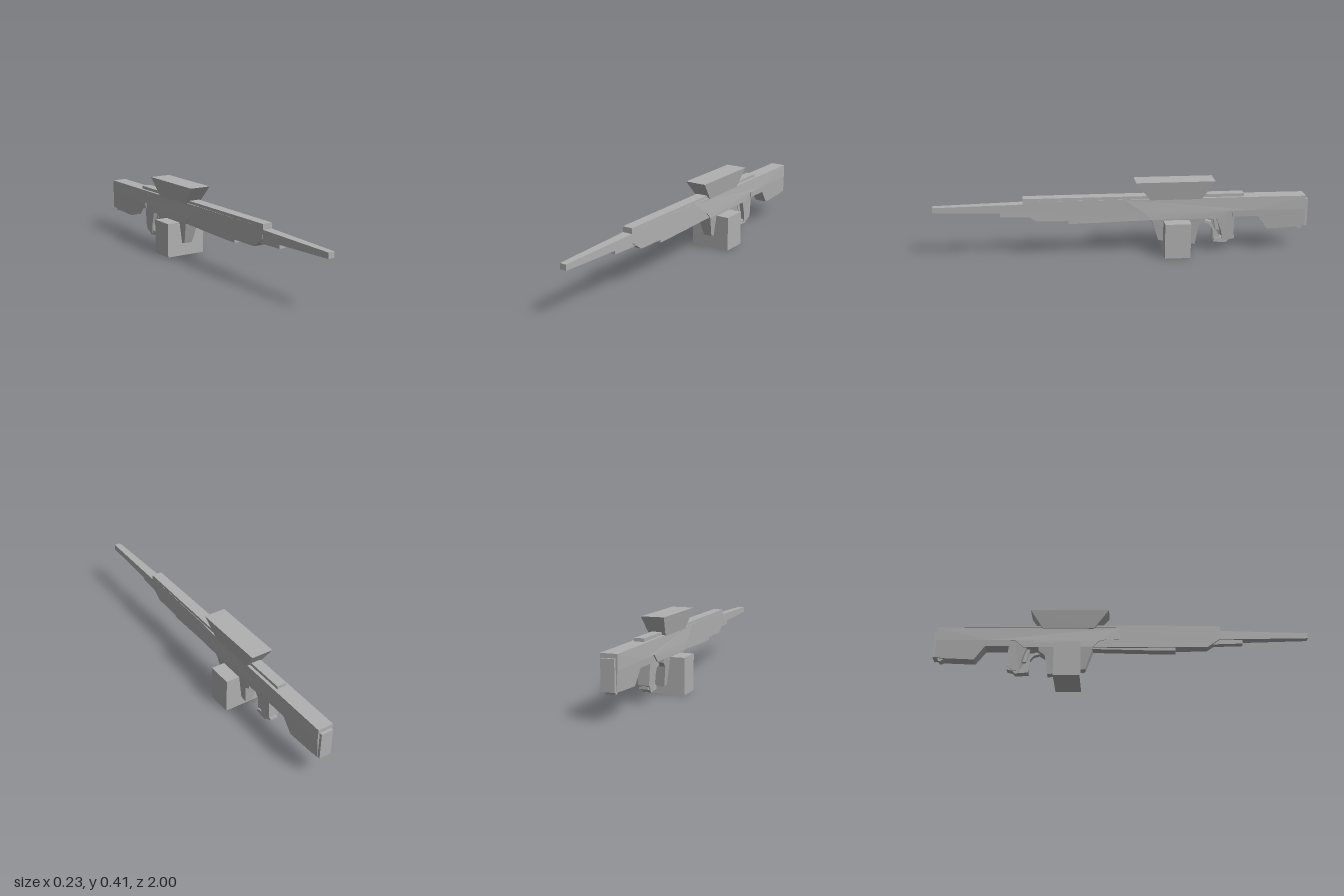
import * as THREE from 'three';

const grey = new THREE.MeshStandardMaterial({ color: 0xb0b0b0 });
grey.name = 'plain grey';

// Linear blend of a width between two stations, held constant outside them
const ramp = (v, v0, w0, v1, w1) =>
  THREE.MathUtils.lerp(w0, w1, THREE.MathUtils.clamp((v - v0) / (v1 - v0), 0, 1));

// Side outline of [z, y] points, spread to a half width given as a number or a rule
function slab(name, points, halfWidth) {
  const shape = new THREE.Shape(points.map(([z, y]) => new THREE.Vector2(z, y)));
  const geometry = new THREE.ExtrudeGeometry(shape, { depth: 1, bevelEnabled: false });
  const p = geometry.attributes.position;
  for (let i = 0; i < p.count; i++) {
    const z = p.getX(i), y = p.getY(i), side = p.getZ(i) < 0.5 ? 1 : -1;
    const w = typeof halfWidth === 'number' ? halfWidth : halfWidth(z, y);
    p.setXYZ(i, side * w, y, z);
  }
  geometry.computeVertexNormals();
  const mesh = new THREE.Mesh(geometry, grey);
  mesh.name = name;
  return mesh;
}

export function createModel() {
  const model = new THREE.Group();
  model.name = 'longPropModel';
  const foreWidth = (z) => ramp(z, 0.53, 0.028, -0.1, 0.036);

  model.add(
    // Tapered barrel and the short tube below it
    slab('barrel', [[1, 0.257], [1, 0.287], [0.5, 0.297], [0.5, 0.245]],
      (z) => ramp(z, 1, 0.018, 0.5, 0.027)),
    slab('underBarrel', [[0.65, 0.226], [0.65, 0.246], [0.46, 0.25], [0.46, 0.22]], 0.017),

    // Fore end with its top rib and lower rail
    slab('foreEnd', [[0.53, 0.25], [0.53, 0.31], [-0.15, 0.31], [-0.15, 0.195], [0.46, 0.2]], foreWidth),
    slab('frontRib', [[0.53, 0.3], [0.53, 0.326], [-0.15, 0.326], [-0.15, 0.3]],
      (z) => ramp(z, 0.53, 0.028, -0.1, 0.032)),
    slab('lowerRail', [[0.29, 0.18], [0.29, 0.21], [-0.16, 0.21], [-0.16, 0.19], [0.1, 0.183]], 0.025),

    // Wide central body, emerging gradually from the fore end
    slab('body', [
      [0, 0.24], [0, 0.311], [-0.15, 0.311], [-0.985, 0.308], [-0.985, 0.235], [-0.7, 0.235],
      [-0.565, 0.235], [-0.52, 0.195], [-0.15, 0.195], [-0.12, 0.23], [-0.08, 0.24],
    ], (z) => ramp(z, 0, 0.034, -0.15, 0.042)),
    slab('rearRib', [[-0.42, 0.3], [-0.42, 0.326], [-0.65, 0.326], [-0.65, 0.3]], 0.026),

    // Flared top housing
    slab('topHousing', [[-0.145, 0.305], [-0.065, 0.406], [-0.487, 0.406], [-0.42, 0.305]],
      (z, y) => ramp(y, 0.305, 0.042, 0.406, 0.06)),

    // Tapered well with the wide box through it
    slab('well', [
      [-0.15, 0.197], [-0.44, 0.197], [-0.44, 0.175], [-0.405, 0.15], [-0.39, 0.045],
      [-0.355, 0.05], [-0.22, 0.07], [-0.19, 0.075],
    ], (z, y) => ramp(y, 0.197, 0.041, 0.06, 0.022)),
    slab('wideBox', [[-0.215, 0], [-0.215, 0.19], [-0.353, 0.19], [-0.353, 0]], 0.115),

    // Grip and the slim guard ahead of it
    slab('grip', [
      [-0.5, 0.2], [-0.565, 0.24], [-0.6, 0.24], [-0.6, 0.09], [-0.575, 0.065], [-0.54, 0.062], [-0.53, 0.12],
    ], (z, y) => ramp(y, 0.2, 0.036, 0.06, 0.026)),
    slab('gripFoot', [[-0.49, 0.055], [-0.495, 0.075], [-0.605, 0.085], [-0.605, 0.073], [-0.575, 0.065], [-0.56, 0.05]], 0.022),
    slab('guard', [
      [-0.43, 0.165], [-0.45, 0.175], [-0.48, 0.165], [-0.495, 0.13], [-0.535, 0.07],
      [-0.5, 0.062], [-0.49, 0.07], [-0.485, 0.13], [-0.465, 0.155],
    ], 0.014),
    slab('trigger', [[-0.485, 0.2], [-0.505, 0.2], [-0.525, 0.12], [-0.505, 0.12]], 0.01),

    // Lower stock, narrowing toward its underside
    slab('lowerStock', [
      [-0.59, 0.237], [-0.985, 0.237], [-0.985, 0.14], [-0.94, 0.132], [-0.78, 0.125],
      [-0.725, 0.2], [-0.59, 0.2],
    ], (z, y) => ramp(y, 0.237, 0.041, 0.125, 0.034)),

    // Butt plate and its small heel
    slab('buttPlate', [[-0.97, 0.142], [-0.97, 0.287], [-1, 0.287], [-1, 0.138]], 0.033),
    slab('heel', [[-0.93, 0.14], [-0.98, 0.15], [-0.97, 0.122], [-0.955, 0.122]], 0.024),
  );
  return model;
}
